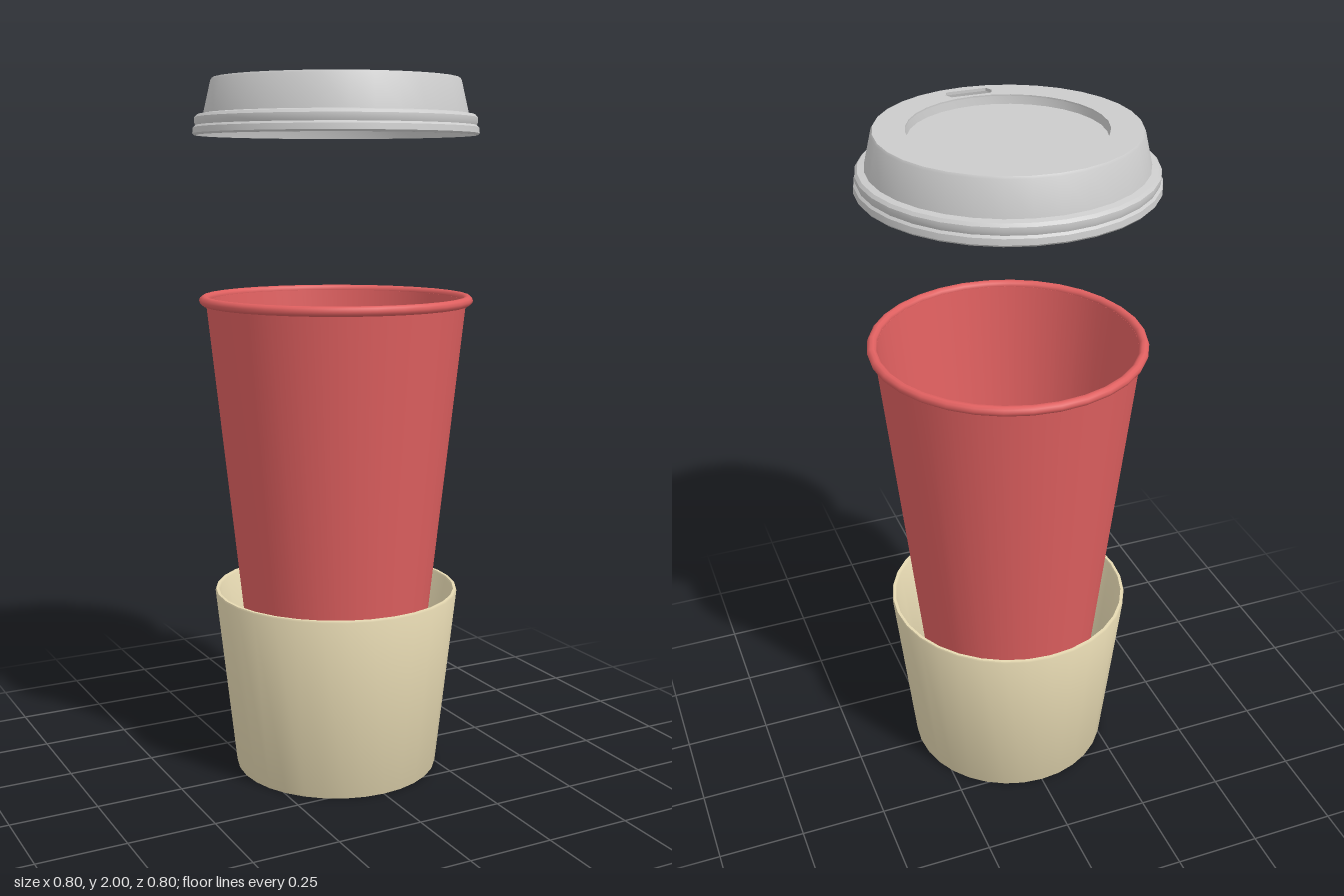
import * as THREE from 'three';
import { toCreasedNormals } from 'three/addons/utils/BufferGeometryUtils.js';

const SIDES = 32;
const material = (color) => new THREE.MeshStandardMaterial({ color, side: THREE.DoubleSide });
const red = material(0xe06060);
const card = material(0xe6d9b2);
const grey = material(0xcccccc);

// Turned part: the profile runs up the outside, then down the inside.
function turned(name, profile, mat) {
  const points = profile.map(([r, y]) => new THREE.Vector2(r, y));
  const mesh = new THREE.Mesh(toCreasedNormals(new THREE.LatheGeometry(points, SIDES), 0.55), mat);
  mesh.name = name;
  return mesh;
}

function createCup() {
  const cup = new THREE.Group();
  cup.name = 'cup';
  cup.add(turned('cupBody', [
    [0, 0.27], [0.251, 0.27], [0.371, 1.385], [0.362, 1.385], [0.243, 0.285], [0, 0.285],
  ], red));

  // Rolled rim
  const rim = new THREE.Mesh(new THREE.TorusGeometry(0.376, 0.014, 10, SIDES), red);
  rim.name = 'cupRim';
  rim.rotation.x = Math.PI / 2;
  rim.position.y = 1.386;
  cup.add(rim);
  return cup;
}

function createLid() {
  const lid = new THREE.Group();
  lid.name = 'lid';

  // Sloped skirt with a bead and a flared bottom lip
  lid.add(turned('lidSkirt', [
    [0.397, 1.845], [0.401, 1.85], [0.399, 1.866], [0.393, 1.872], [0.396, 1.882],
    [0.395, 1.893], [0.388, 1.901], [0.37, 1.904], [0.349, 1.994], [0.345, 2],
    [0.34, 1.992], [0.362, 1.896], [0.382, 1.892], [0.388, 1.872], [0.393, 1.845], [0.397, 1.845],
  ], grey));

  // Flat top ring, open for the recess and the sip slot
  const ring = new THREE.Shape().absarc(0, 0, 0.345, 0, Math.PI * 2, false);
  ring.holes.push(new THREE.Path().absarc(0, 0, 0.261, 0, Math.PI * 2, true));
  const slot = [[-0.066, 0], [-0.056, 0.022], [0.056, 0.022], [0.066, 0], [0.056, -0.022], [-0.056, -0.022]];
  ring.holes.push(new THREE.Path(slot.map(([x, y]) => new THREE.Vector2(x, y - 0.295))));
  const top = new THREE.Mesh(
    new THREE.ExtrudeGeometry(ring, { depth: 0.008, bevelEnabled: false, curveSegments: SIDES / 2 }), grey);
  top.name = 'lidTop';
  top.rotation.x = -Math.PI / 2;
  top.position.y = 1.992;
  lid.add(top);

  // Recessed centre
  lid.add(turned('lidRecess', [
    [0, 1.968], [0.262, 1.968], [0.266, 1.996], [0.261, 1.996], [0.258, 1.975], [0, 1.975],
  ], grey));
  return lid;
}

export function createModel() {
  const model = new THREE.Group();
  model.name = 'takeawayCup';

  // Open-ended card sleeve
  const sleeve = turned('sleeve', [
    [0.288, 0], [0.296, 0], [0.298, 0.005], [0.356, 0.535], [0.354, 0.54],
    [0.346, 0.54], [0.343, 0.535], [0.286, 0.005], [0.288, 0],
  ], card);

  model.add(sleeve, createCup(), createLid());
  return model;
}
